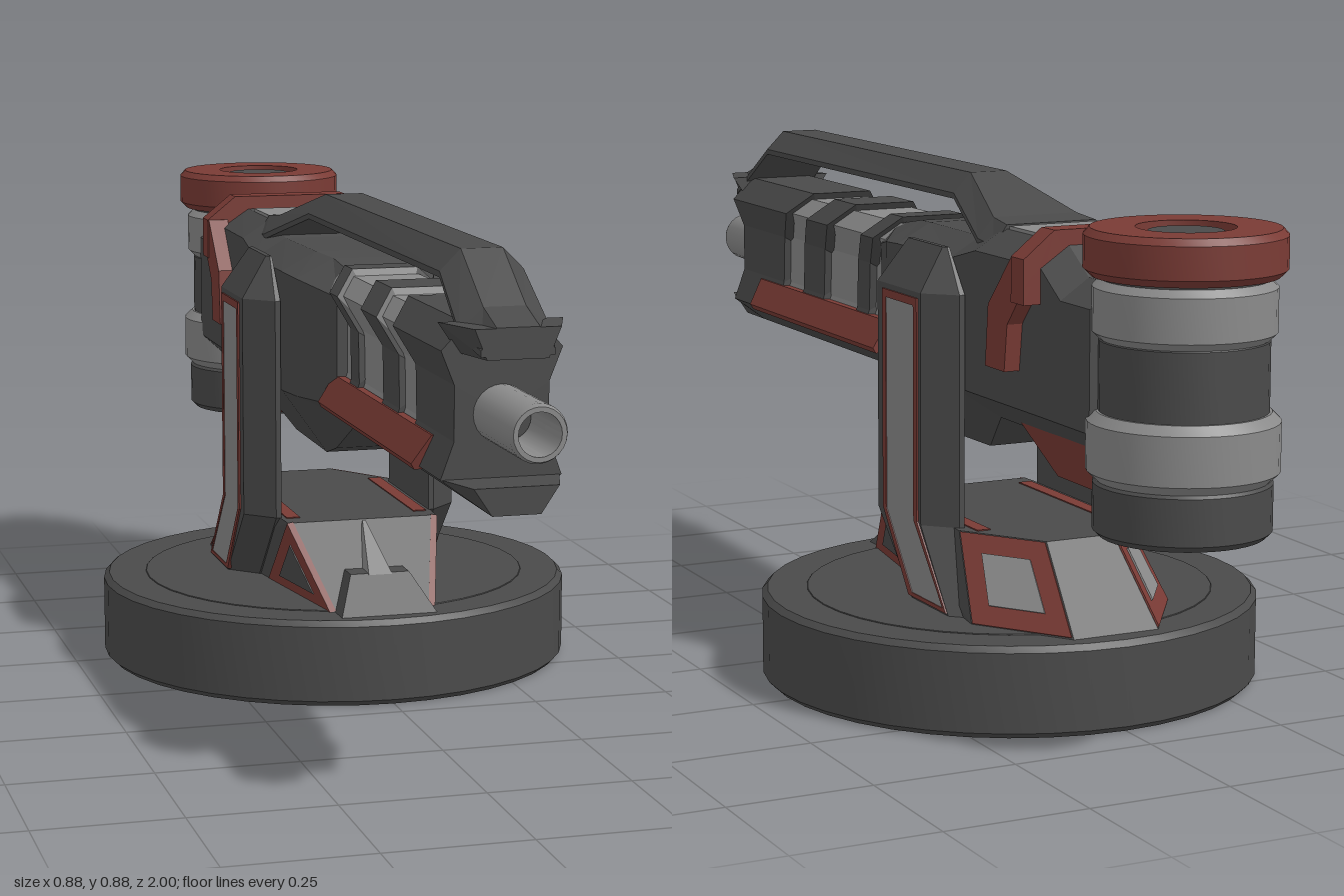
import * as THREE from 'three';
import { toCreasedNormals } from 'three/addons/utils/BufferGeometryUtils.js';
import { ConvexGeometry } from 'three/addons/geometries/ConvexGeometry.js';

const mat = (color) => new THREE.MeshStandardMaterial({ color, flatShading: true });
const dark = mat(0x4a4a4a), light = mat(0x8a8a8a), red = mat(0x7a3b35);
const smooth = new Map([dark, light, red].map((m) => [m, new THREE.MeshStandardMaterial({ color: m.color })]));

export function createModel() {
  const model = new THREE.Group();
  const add = (name, geo, material) => {
    const mesh = new THREE.Mesh(geo, material);
    mesh.name = name;
    model.add(mesh);
    return mesh;
  };
  const pair = (name, geo, material) => {
    add(name + 'Left', geo, material);
    add(name + 'Right', geo, material).scale.x = -1;
  };

  // Skin through rings of [x, y, z]; each ring runs counterclockwise seen from the first end
  const loft = (rings) => {
    const pos = [], n = rings[0].length, last = rings[rings.length - 1];
    const tri = (...p) => p.forEach((q) => pos.push(...q));
    const middle = (r) => [0, 1, 2].map((i) => r.reduce((sum, p) => sum + p[i], 0) / n);
    const m0 = middle(rings[0]), m1 = middle(last);
    for (let j = 0; j < n; j++) {
      const k = (j + 1) % n;
      for (let i = 0; i < rings.length - 1; i++) {
        const a = rings[i], b = rings[i + 1];
        tri(a[j], b[j], a[k]);
        tri(a[k], b[j], b[k]);
      }
      tri(m0, rings[0][j], rings[0][k]);
      tri(m1, last[k], last[j]);
    }
    const g = new THREE.BufferGeometry();
    g.setAttribute('position', new THREE.Float32BufferAttribute(pos, 3));
    g.computeVertexNormals();
    return g;
  };
  // Symmetric ring from the right half profile, listed bottom to top
  const ring = (half, z, lean = 0) =>
    [...half, ...half.slice().reverse().map(([x, y]) => [-x, y])]
      .map(([x, y]) => [x, y, z - Math.max(0, y - 0.68) * lean]);

  // Side profile of [z, y] points, extruded from x0 to x1
  const plate = (pts, x0, x1, hole) => {
    const shape = new THREE.Shape(pts.map((p) => new THREE.Vector2(...p)));
    if (hole) shape.holes.push(new THREE.Path(hole.map((p) => new THREE.Vector2(...p))));
    return new THREE.ExtrudeGeometry(shape, { depth: x1 - x0, bevelEnabled: false })
      .rotateY(-Math.PI / 2).translate(x1, 0, 0);
  };
  const hull = (pts) => new ConvexGeometry(
    pts.flatMap(([x, y, z]) => [new THREE.Vector3(x, y, z), new THREE.Vector3(-x, y, z)]));
  // Thin slab on a sloping facet, shrunk about its centre and raised by a height
  const slab = (points, scale, height) => {
    const p = points.map((q) => new THREE.Vector3(...q));
    const centre = p.reduce((sum, q) => sum.add(q), new THREE.Vector3()).divideScalar(p.length);
    const out = p[1].clone().sub(p[0]).cross(p[2].clone().sub(p[0])).normalize();
    if (out.x < 0) out.negate();
    return new ConvexGeometry([-0.01, height].flatMap((h) =>
      p.map((q) => q.clone().lerp(centre, 1 - scale).addScaledVector(out, h))));
  };
  const turned = (name, pts, z, material, sides = 40) => add(name, toCreasedNormals(
    new THREE.LatheGeometry(pts.map((p) => new THREE.Vector2(...p)), sides), 0.5).translate(0, 0, z), smooth.get(material));
  // Solid disc with bevelled rims
  const disc = (name, r, y0, y1, z, material, c = 0.012) => turned(name,
    [[0, y0], [r - c, y0], [r, y0 + c], [r, y1 - c], [r - c, y1], [0, y1]], z, material);

  // Base
  disc('base', 0.44, 0, 0.157, -0.235, dark, 0.01);
  disc('baseTopPlate', 0.36, 0.15, 0.1585, -0.235, dark, 0.001);

  // Pedestal with sloping corners
  const frontCorner = [[0.097, 0.157, 0.12], [0.142, 0.157, -0.17], [0.142, 0.295, -0.02]];
  const rearCorner = [[0.19, 0.157, -0.47], [0.08, 0.157, -0.63], [0.064, 0.295, -0.5], [0.16, 0.295, -0.36]];
  add('pedestal', hull([...frontCorner, ...rearCorner]), dark);
  add('frontRamp', hull([[0.09, 0.155, 0.17], [0.055, 0.22, 0.1], [0.055, 0.22, -0.02], [0.09, 0.155, 0]]), dark);
  add('rampWedge', hull([[0.022, 0.218, 0.105], [0.003, 0.295, -0.01], [0.022, 0.21, 0]]), light);
  pair('cornerFrame', slab(frontCorner, 1, 0.002), red);
  pair('cornerInset', slab(frontCorner, 0.55, 0.004), dark);
  pair('rearBrace', slab(rearCorner, 0.97, 0.003), red);
  pair('rearBraceInset', slab(rearCorner, 0.55, 0.006), light);
  pair('pedestalRail', new THREE.BoxGeometry(0.025, 0.01, 0.32).translate(0.122, 0.292, -0.22), red);

  // Support arms with bevelled outer corners and a kicked-back foot
  const armRing = ([y, zf, zb, xo, c]) => [
    [0.142, y, zf], [xo - c, y, zf], [xo, y, zf - c], [xo, y, zb + c], [xo - c, y, zb], [0.142, y, zb]];
  pair('arm', loft([
    [0.775, -0.135, -0.285, 0.152, 0.006], [0.7, -0.07, -0.345, 0.202, 0.05],
    [0.295, -0.07, -0.345, 0.202, 0.05], [0.157, -0.21, -0.455, 0.202, 0.05],
  ].map(armRing)), dark);
  const strip = (i) => [[-0.145 - i, 0.69 - i], [-0.285 + i, 0.69 - i], [-0.285 + i, 0.3], [-0.4 + i, 0.162 + i / 2],
    [-0.25 - i, 0.162 + i / 2], [-0.145 - i, 0.3]];
  pair('armFrame', plate(strip(0), 0.19, 0.205, strip(0.014)), red);
  pair('armPanel', plate(strip(0.013), 0.19, 0.2035), light);

  // Receiver: z, half width, bottom, bottom half width, top, top half width
  const body = ([z, w, b, bw, t, tw]) => ring([[bw, b], [w, 0.535], [w, t - 0.035], [tw, t]], z);
  add('receiver', loft([
    [0.12, 0.085, 0.5, 0.05, 0.765, 0.05], [0, 0.13, 0.435, 0.055, 0.785, 0.06], [-0.07, 0.14, 0.415, 0.055, 0.79, 0.075],
    [-0.28, 0.14, 0.42, 0.06, 0.79, 0.08], [-0.38, 0.14, 0.49, 0.09, 0.815, 0.085], [-0.61, 0.137, 0.49, 0.09, 0.815, 0.085],
    [-0.68, 0.137, 0.49, 0.09, 0.77, 0.085], [-0.78, 0.137, 0.49, 0.09, 0.77, 0.085],
  ].map(body)), dark);
  add('receiverTopPanel', new THREE.BoxGeometry(0.17, 0.02, 0.12).translate(0, 0.811, -0.46), light);

  // Waisted barrel shroud: pale core with leaning dark fins
  const section = (s) => [[0.045, 0.495 + s], [0.1 - s, 0.535], [0.078 - s, 0.595], [0.078 - s, 0.685],
    [0.1 - s, 0.74], [0.06, 0.782 - s]];
  add('shroudCore', loft([ring(section(0.012), 0.62, 1.1), ring(section(0.012), 0, 1.1)]), light);
  add('shroudFront', loft([ring(section(0), 0.81), ring(section(0), 0.6, 1.1)]), dark);
  [[0.5, 0.4], [0.245, 0.19], [0.09, -0.02]].forEach(([a, b], i) =>
    add('shroudFin' + (i + 1), loft([ring(section(0), a, 1.1), ring(section(0), b, 1.1)]), dark));
  add('upperLip', loft([0.89, 0.8].map((z, i) =>
    ring([[0.05 + i * 0.02, 0.735], [0.07 + i * 0.033, 0.784]], z))), dark);
  add('lowerLip', loft([0.89, 0.8, 0.1].map((z, i) =>
    ring([[0.04, 0.49], [i ? 0.1 : 0.07, 0.535]], z))), dark);
  const guard = [[0.07, 0.53], [0.108, 0.53], [0.114, 0.54], [0.084, 0.588], [0.07, 0.588]];
  pair('sideGuard', loft([0.69, 0.095].map((z) => guard.map(([x, y]) => [x, y, z + (z > 0.5 ? (y - 0.53) * 0.3 : 0)]))), red);

  // Raised top rail, open underneath: z, top height, top and bottom half widths
  add('topRail', loft([
    [0.89, 0.785, 0.035, 0.06], [0.82, 0.808, 0.035, 0.075], [0.7, 0.885, 0.035, 0.07],
    [-0.15, 0.885, 0.035, 0.068], [-0.33, 0.828, 0.08, 0.11], [-0.39, 0.822, 0.085, 0.11],
  ].map(([z, t, tw, bw]) => ring([[bw, t - 0.045], [bw, t - 0.035], [tw, t]], z))), dark);

  // Hollow muzzle
  const tube = turned('barrel', [[0, 0], [0.047, 0], [0.047, 0.49], [0.043, 0.5], [0.035, 0.5], [0.035, 0.35], [0, 0.35]], 0, light, 24);
  tube.rotation.x = Math.PI / 2;
  tube.position.set(0, 0.637, 0.5);
  add('barrelBore', new THREE.CircleGeometry(0.034, 24).translate(0, 0.637, 0.853), dark);

  // Red collar over the receiver
  const half = [[0.13, 0.72], [0.168, 0.72], [0.168, 0.795], [0.112, 0.84]];
  const inner = [[0.095, 0.805], [0.13, 0.77]];
  const arch = new THREE.Shape([...half, ...half.slice().reverse().map(([x, y]) => [-x, y]),
    ...inner.slice().reverse().map(([x, y]) => [-x, y]), ...inner].map((p) => new THREE.Vector2(...p)));
  add('collarBridge', new THREE.ExtrudeGeometry(arch, { depth: 0.045, bevelEnabled: false }).translate(0, 0, -0.612), red);
  pair('collarLeg', plate([[-0.565, 0.795], [-0.48, 0.705], [-0.47, 0.6], [-0.54, 0.6], [-0.55, 0.68], [-0.612, 0.75], [-0.612, 0.795]],
    0.128, 0.166), red);
  // Keel-shaped block under the rear of the receiver
  add('rearUndersideBlock', loft([[-0.47, 0.485], [-0.55, 0.41], [-0.72, 0.41]].map(([z, b]) =>
    ring([[0.03, b - 0.004], [0.07, b + 0.008], [0.1, 0.5]], z))), red);

  // Rear drum
  const dz = -0.84;
  disc('drumFoot', 0.144, 0.374, 0.47, dz, dark, 0.01);
  disc('drumFootCap', 0.06, 0.372, 0.39, dz, dark, 0.003);
  disc('drumLowerRing', 0.155, 0.465, 0.575, dz, light, 0.015);
  disc('drumMiddle', 0.136, 0.56, 0.7, dz, dark);
  disc('drumUpperRing', 0.147, 0.69, 0.785, dz, light);
  disc('drumNeck', 0.135, 0.77, 0.83, dz, dark);
  turned('drumCap', [[0.08, 0.79], [0.15, 0.79], [0.162, 0.802], [0.162, 0.855], [0.152, 0.866], [0.08, 0.866], [0.08, 0.79]], dz, red);
  disc('drumCapCentre', 0.066, 0.82, 0.86, dz, dark, 0.006);
  return model;
}
